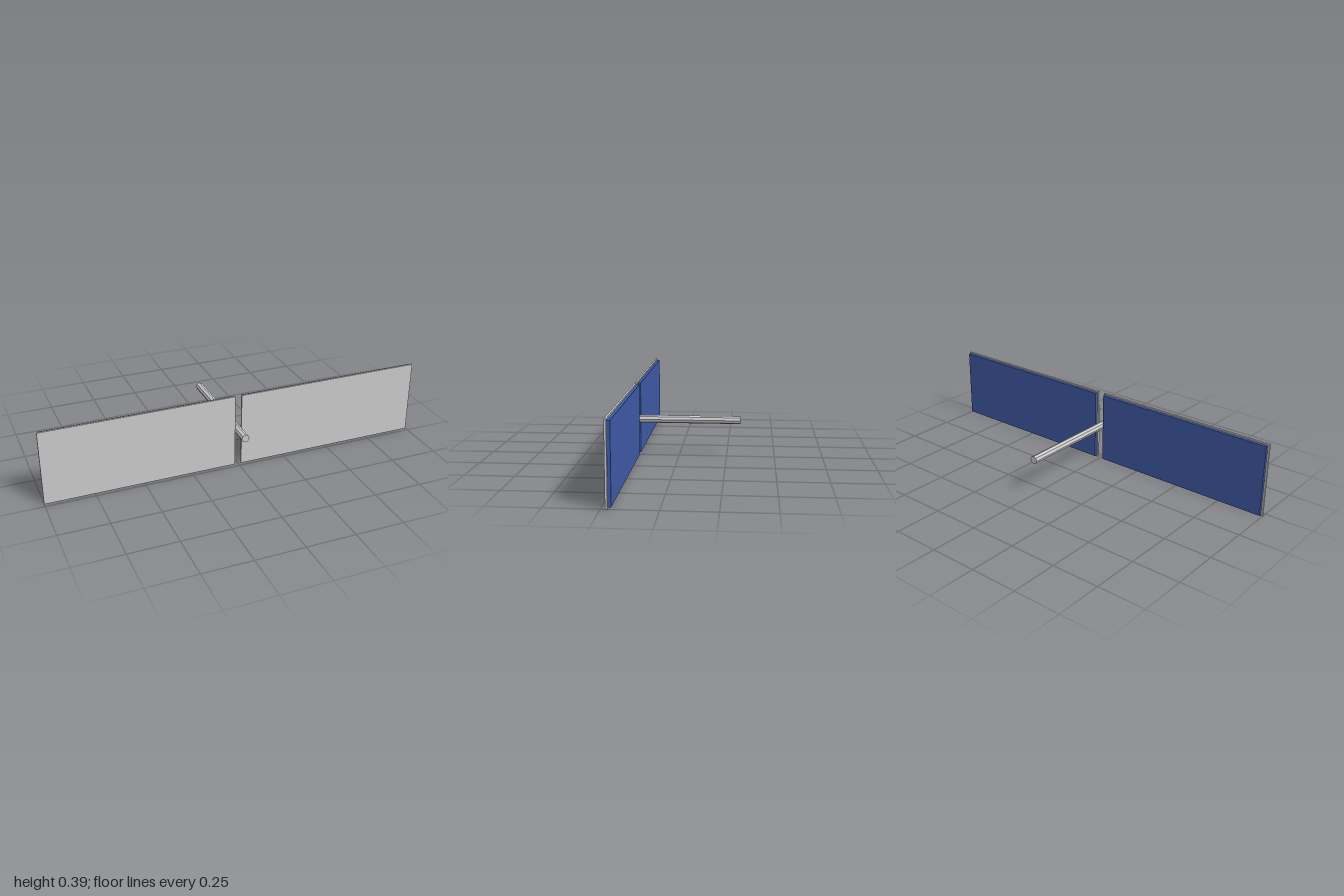
import * as THREE from 'three';

export function createModel() {
  const model = new THREE.Group();
  const grey = new THREE.MeshStandardMaterial({ color: 0xcccccc, flatShading: true });
  const blue = new THREE.MeshStandardMaterial({ color: 0x3f5aa6, flatShading: true });
  const midY = 0.193;

  // One upright plate, centred at x and z
  const addPlate = (parent, name, material, size, x, z) => {
    const mesh = new THREE.Mesh(new THREE.BoxGeometry(...size), material);
    mesh.name = name;
    mesh.position.set(x, midY, z);
    parent.add(mesh);
  };

  // Mirrored panels: a thin grey backing with a slightly smaller blue sheet behind it
  for (const [side, sign] of [['left', 1], ['right', -1]]) {
    const panel = new THREE.Group();
    panel.name = side + 'Panel';
    addPlate(panel, side + 'Backing', grey, [0.983, 0.386, 0.01], sign * 0.5085, 0.225);
    addPlate(panel, side + 'BlueSheet', blue, [0.966, 0.372, 0.015], sign * 0.5085, 0.2125);
    model.add(panel);
  }

  // Eight-sided rod running front to back through the gap
  const rod = new THREE.Mesh(new THREE.CylinderGeometry(0.0205, 0.0205, 0.642, 8), grey);
  rod.name = 'rod';
  rod.rotation.x = Math.PI / 2;
  rod.position.y = midY;
  model.add(rod);

  return model;
}
